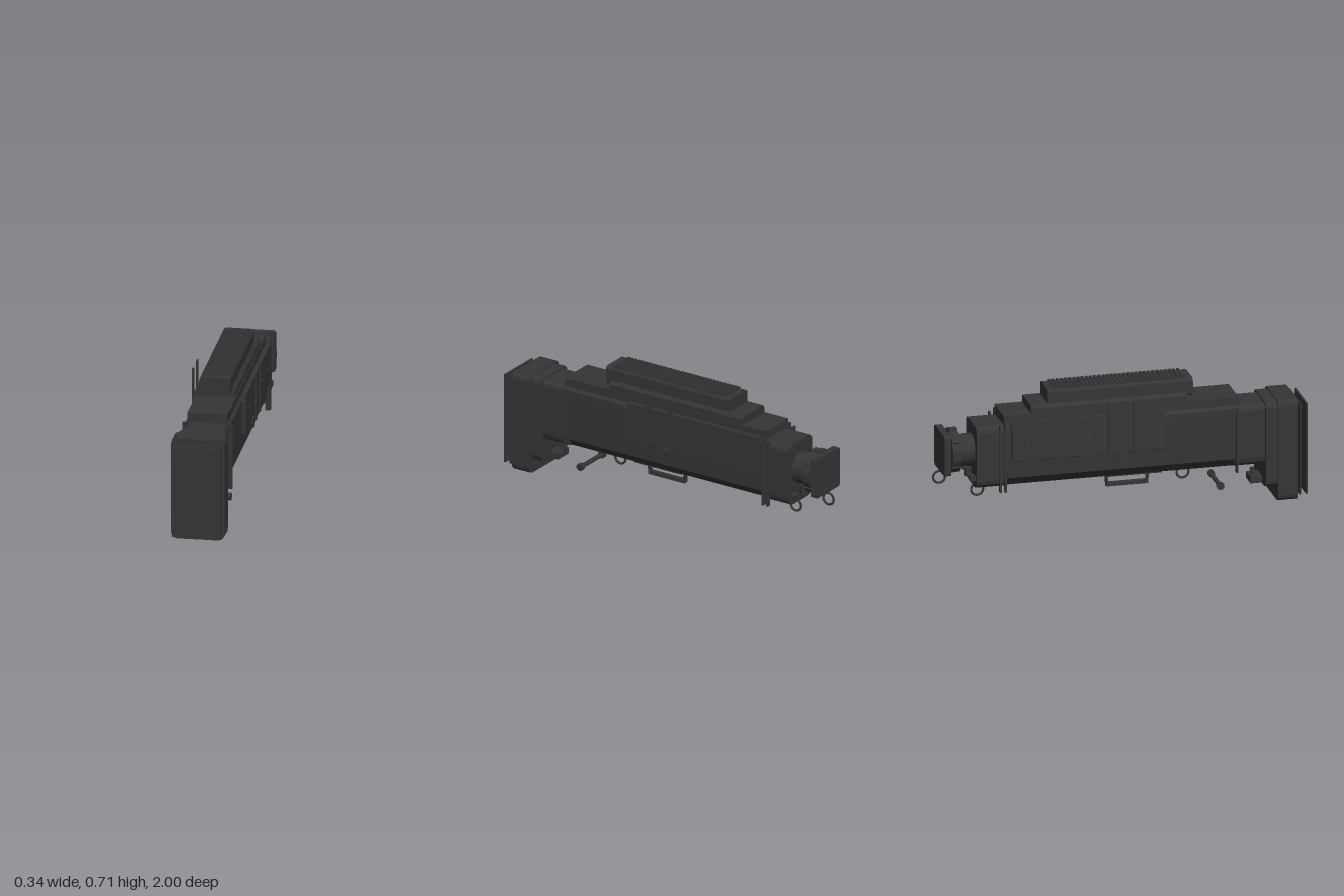
import * as THREE from 'three';

const mat = new THREE.MeshStandardMaterial({ color: 0x343537, side: THREE.DoubleSide, flatShading: true });
const smooth = new THREE.MeshStandardMaterial({ color: 0x343537 });

export function createModel() {
  const root = new THREE.Group();

  const add = (name, geo, m = mat) => {
    const mesh = new THREE.Mesh(geo, m);
    mesh.name = name;
    root.add(mesh);
    return mesh;
  };
  // Box given by its extents on each axis
  const box = (name, x0, x1, y0, y1, z0, z1) =>
    add(name, new THREE.BoxGeometry(x1 - x0, y1 - y0, z1 - z0))
      .position.set((x0 + x1) / 2, (y0 + y1) / 2, (z0 + z1) / 2);
  // Outline extruded along z
  const prism = (name, points, z0, z1) =>
    add(name, new THREE.ExtrudeGeometry(new THREE.Shape(points.map(p => new THREE.Vector2(...p))),
      { depth: z1 - z0, bevelEnabled: false })).position.z = z0;
  // Rectangle with separately cut bottom and top corners, extruded along z
  const cutBlock = (name, w, y0, y1, z0, z1, cutLow, cutHigh) => {
    const points = [];
    const corner = (cx, cy, r, start) => {
      for (let i = 0; i <= 3; i++) {
        const a = start + i * Math.PI / 6;
        points.push([cx + r * Math.cos(a), cy + r * Math.sin(a)]);
      }
    };
    corner(w - cutHigh, y1 - cutHigh, cutHigh, 0);
    corner(-w + cutHigh, y1 - cutHigh, cutHigh, Math.PI / 2);
    corner(-w + cutLow, y0 + cutLow, cutLow, Math.PI);
    corner(w - cutLow, y0 + cutLow, cutLow, Math.PI * 1.5);
    prism(name, points, z0, z1);
  };
  // Cylinder centred at a point, lying along an axis
  const rod = (name, r, length, axis, x, y, z, sides = 20) => {
    const geo = new THREE.CylinderGeometry(r, r, length, sides);
    if (axis === 'x') geo.rotateZ(Math.PI / 2);
    if (axis === 'z') geo.rotateX(Math.PI / 2);
    add(name, geo, sides > 12 ? smooth : mat).position.set(x, y, z);
  };

  // Front window plates and hood
  box('frontPlate', -0.127, 0.127, 0.03, 0.53, 0.99, 1);
  box('innerPlate', -0.127, 0.127, 0.03, 0.53, 0.955, 0.965);
  cutBlock('hood', 0.142, 0.003, 0.557, 0.835, 0.942, 0.035, 0.03);
  cutBlock('hoodCollar', 0.126, 0.08, 0.55, 0.772, 0.835, 0.035, 0.03);
  rod('hoodLatch', 0.013, 0.02, 'z', 0, 0.28, 0.945);
  box('hoodButton', 0.138, 0.146, 0.035, 0.073, 0.87, 0.91);
  box('clampPlate', -0.05, 0.05, 0.085, 0.12, 0.71, 0.835);
  rod('clampScrew', 0.007, 0.075, 'y', 0, 0.117, 0.73);
  rod('clampScrewHead', 0.013, 0.012, 'y', 0, 0.15, 0.73);

  // Main housing
  cutBlock('frontNeck', 0.11, 0.2, 0.54, 0.61, 0.775, 0.045, 0.03);
  const section = [[-0.065, 0.2], [0.065, 0.2], [0.112, 0.25], [0.118, 0.5], [0.118, 0.53],
    [0.105, 0.545], [0.105, 0.59], [-0.105, 0.59], [-0.105, 0.545], [-0.118, 0.53], [-0.118, 0.5], [-0.112, 0.25]];
  prism('housing', section, -0.632, 0.632);
  cutBlock('rearBlock', 0.114, 0.2, 0.54, -0.78, -0.63, 0.045, 0.035);
  for (const s of [-1, 1]) {
    for (const [z, top] of [[0.62, 0.535], [-0.628, 0.56], [-0.655, 0.545]])
      box('flangeStrip', Math.min(s * 0.105, s * 0.131), Math.max(s * 0.105, s * 0.131), 0.178, top, z - 0.005, z + 0.005);
  }

  // Stepped top with a studded grip
  prism('topRail', [[-0.1, 0.588], [0.1, 0.588], [0.1, 0.618], [0.088, 0.635], [-0.088, 0.635], [-0.1, 0.618]], -0.485, 0.355);
  cutBlock('topCover', 0.081, 0.61, 0.708, -0.392, 0.39, 0.015, 0.018);
  for (let i = 0; i < 32; i++) {
    for (let j = 0; j < 9; j++) {
      const x = (j - 4) * 0.0165, z = 0.345 - i * 0.0223;
      box('gripStud', x - 0.0055, x + 0.0055, 0.706, 0.715, z - 0.0075, z + 0.0075);
    }
  }

  // Side panels with fasteners and standing straps
  for (const s of [-1, 1]) {
    const panel = add('sidePanel', new THREE.BoxGeometry(0.026, 0.18, 0.83));
    panel.position.set(s * 0.125, 0.44, -0.18);
    box('panelRim', s * 0.125 - 0.012, s * 0.125 + 0.012, 0.525, 0.56, -0.6, 0.22);
    for (const z of [0.12, -0.14, -0.31, -0.48]) rod('panelBolt', 0.013, 0.012, 'x', s * 0.138, 0.45, z);
    for (let i = 0; i < 6; i++) {
      const lip = add('panelHinge', new THREE.CylinderGeometry(0.008, 0.008, 0.07, 10).rotateX(Math.PI / 2));
      lip.position.set(s * 0.13, 0.352, 0.2 - i * 0.153);
    }
    rod('sideKnob', 0.032, 0.035, 'x', s * 0.127, 0.335, 0, 8);
    for (const z of [0.065, -0.073]) box('strap', s * 0.167 - 0.004, s * 0.167 + 0.004, 0.37, 0.635, z - 0.014, z + 0.014);
  }

  // Rear eyepiece, square cap and clamp knobs
  rod('rearTube', 0.085, 0.1, 'z', 0, 0.39, -0.82, 32);
  rod('rearRing', 0.112, 0.046, 'z', 0, 0.395, -0.887, 32);
  for (let i = 0; i < 8; i++) {
    const a = i * Math.PI / 4;
    const lug = add('ringLug', new THREE.BoxGeometry(0.04, 0.024, 0.046));
    lug.position.set(0.107 * Math.sin(a), 0.395 + 0.107 * Math.cos(a), -0.887);
    lug.rotation.z = -a;
  }
  cutBlock('rearCap', 0.108, 0.285, 0.505, -0.955, -0.918, 0.012, 0.012);
  rod('rearPost', 0.02, 0.045, 'y', 0, 0.268, -0.8);
  for (const s of [-1, 1]) rod('rearKnob', 0.018, 0.03, 'x', s * 0.1, 0.265, -0.8);

  // Hanging rings
  for (const [y, z] of [[0.165, 0.355], [0.165, -0.75], [0.25, -0.957]]) {
    const ring = add('hangingRing', new THREE.TorusGeometry(0.032, 0.006, 10, 32), smooth);
    ring.rotation.y = Math.PI / 2;
    ring.position.set(0, y, z);
  }

  // Underside plate, carrying handle and cross rod
  box('bottomPlate', -0.06, 0.06, 0.192, 0.205, -0.07, 0.23);
  box('handleGrip', -0.012, 0.012, 0.122, 0.142, -0.058, 0.168);
  for (const [z, tilt] of [[0.165, -0.06], [-0.056, 0.06]]) {
    const leg = add('handleLeg', new THREE.BoxGeometry(0.024, 0.075, 0.012));
    leg.position.set(0, 0.163, z);
    leg.rotation.x = -tilt;
  }
  rod('crossRod', 0.012, 0.2, 'x', 0, 0.105, 0.535);
  for (const s of [-1, 1]) rod('rodKnob', 0.02, 0.022, 'x', s * 0.1, 0.105, 0.535);

  return root;
}
